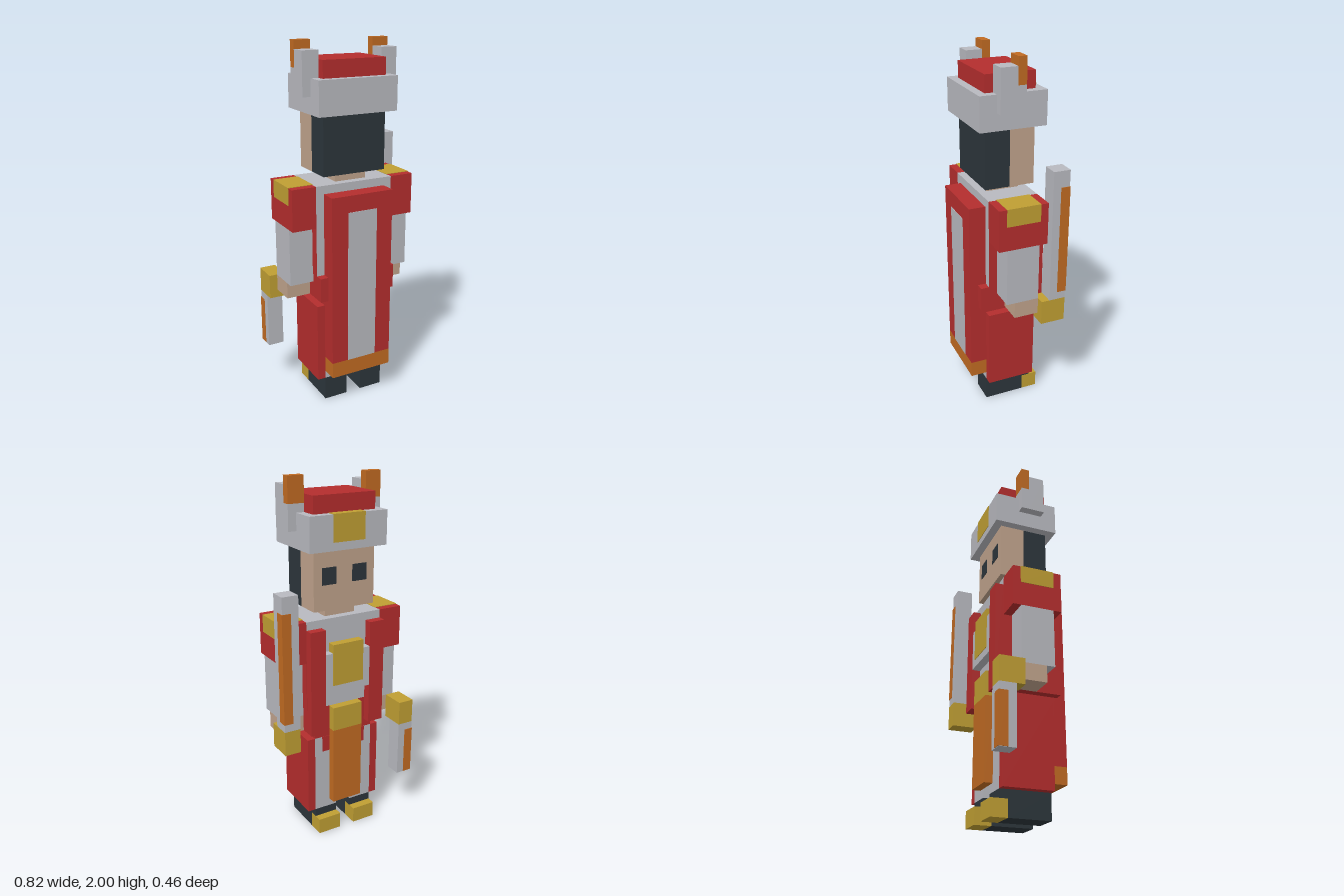
import * as THREE from 'three';

const U = 1 / 22; // one block unit; the figure is 44 units tall

const mat = (name, color) => {
  const m = new THREE.MeshStandardMaterial({ color });
  m.name = name;
  return m;
};

export function createModel() {
  const red = mat('red cloth', 0xb42d2d);
  const grey = mat('grey steel', 0xb8b9bf);
  const dark = mat('dark hair and boots', 0x2c353b);
  const skin = mat('skin', 0xbfa28b);
  const gold = mat('gold', 0xbf9e33);
  const orange = mat('orange', 0xc06a22);

  const model = new THREE.Group();
  model.name = 'armouredFigure';

  // Box from ranges in block units; grow lifts painted plates off the surface
  function box(name, m, [x0, x1], [y0, y1], [z0, z1], grow = 0) {
    const g = new THREE.BoxGeometry(
      (x1 - x0 + 2 * grow) * U, (y1 - y0 + 2 * grow) * U, (z1 - z0 + 2 * grow) * U);
    const mesh = new THREE.Mesh(g, m);
    mesh.name = name;
    mesh.position.set((x0 + x1) / 2 * U, (y0 + y1) / 2 * U, (z0 + z1) / 2 * U);
    model.add(mesh);
  }
  // Same box on both sides of the body
  function pair(name, m, [x0, x1], y, z, grow = 0) {
    box(name + 'Left', m, [x0, x1], y, z, grow);
    box(name + 'Right', m, [-x1, -x0], y, z, grow);
  }
  const P = 0.06; // paint thickness

  // Boots and legs
  pair('boot', dark, [1, 4], [0, 3], [-2, 3]);
  pair('bootInstep', dark, [1, 4], [2, 3], [-3, -2]);
  pair('toeCap', gold, [1, 4], [0, 2], [-4, -2]);
  pair('leg', grey, [1, 4], [3, 13], [-3, 3]);
  pair('legTrim', red, [2, 3], [11, 13], [-3 - P, -3]);
  pair('skirtPanel', red, [4, 5], [3, 13], [-3, 3]);

  // Torso
  box('hips', red, [-4, 4], [13, 14], [-3, 3]);
  box('belt', red, [-5, 5], [14, 17], [-3, 4]);
  box('torso', grey, [-5, 5], [17, 28], [-3, 3]);
  pair('torsoSide', red, [5, 5 + P], [17, 23], [-3, 3]);
  pair('lapel', red, [3, 5], [14, 27], [-4, -3]);
  box('chestPlate', grey, [-3, 3], [19, 24], [-4, -3]);
  box('chestEmblem', gold, [-2, 2], [20, 25], [-4, -3], P);
  box('buckle', gold, [-2, 2], [14, 17], [-4, -3]);
  box('apron', orange, [-2, 2], [4, 14], [-4, -3]);

  // Cape
  box('cape', red, [-4, 4], [6, 27], [3, 5]);
  box('capeHem', orange, [-4, 4], [4, 6], [3, 5]);
  box('capeStripe', grey, [-1.9, 1.9], [6, 25], [5, 5 + P]);

  // Arms
  pair('shoulder', red, [5, 8], [23, 28], [-3, 3]);
  pair('shoulderTrim', gold, [5, 8], [26, 28], [-2, 2], P);
  pair('sleeve', grey, [5, 8], [16, 23], [-2, 2]);
  pair('hand', skin, [5, 8], [14, 16], [-2, 1]);

  // Weapons: long blade pointing up, short blade pointing down
  pair('hilt', gold, [7, 9], [13, 16], [-5, -2]);
  box('longBlade', grey, [7, 9], [16, 32], [-5, -3]);
  box('longBladeEdge', orange, [8, 9], [17, 30], [-5, -4], P);
  box('shortBlade', grey, [-9, -7], [6, 13], [-5, -3]);
  box('shortBladeEdge', orange, [-9, -8], [6.1, 12], [-5, -4], P);

  // Head
  box('neck', skin, [-2, 2], [28, 29], [-2, 2]);
  box('face', skin, [-4, 4], [29, 36], [-3, 0]);
  box('hair', dark, [-4, 4], [29, 36], [0, 3]);
  pair('eye', dark, [1.05, 2.95], [32, 34], [-3 - P, -3]);

  // Helmet with horns
  box('helmetBand', grey, [-5, 5], [36, 40], [-4, 4]);
  box('helmetBadge', gold, [-2, 2], [37, 40], [-4, -3], P);
  box('helmetTop', red, [-4, 4], [40, 42], [-3, 3]);
  pair('horn', grey, [4, 6], [38, 43], [0, 2]);
  pair('hornBase', grey, [4, 6], [38, 41], [-1, 0]);
  pair('hornTip', orange, [4, 6], [41, 44], [-1, 0]);

  return model;
}
